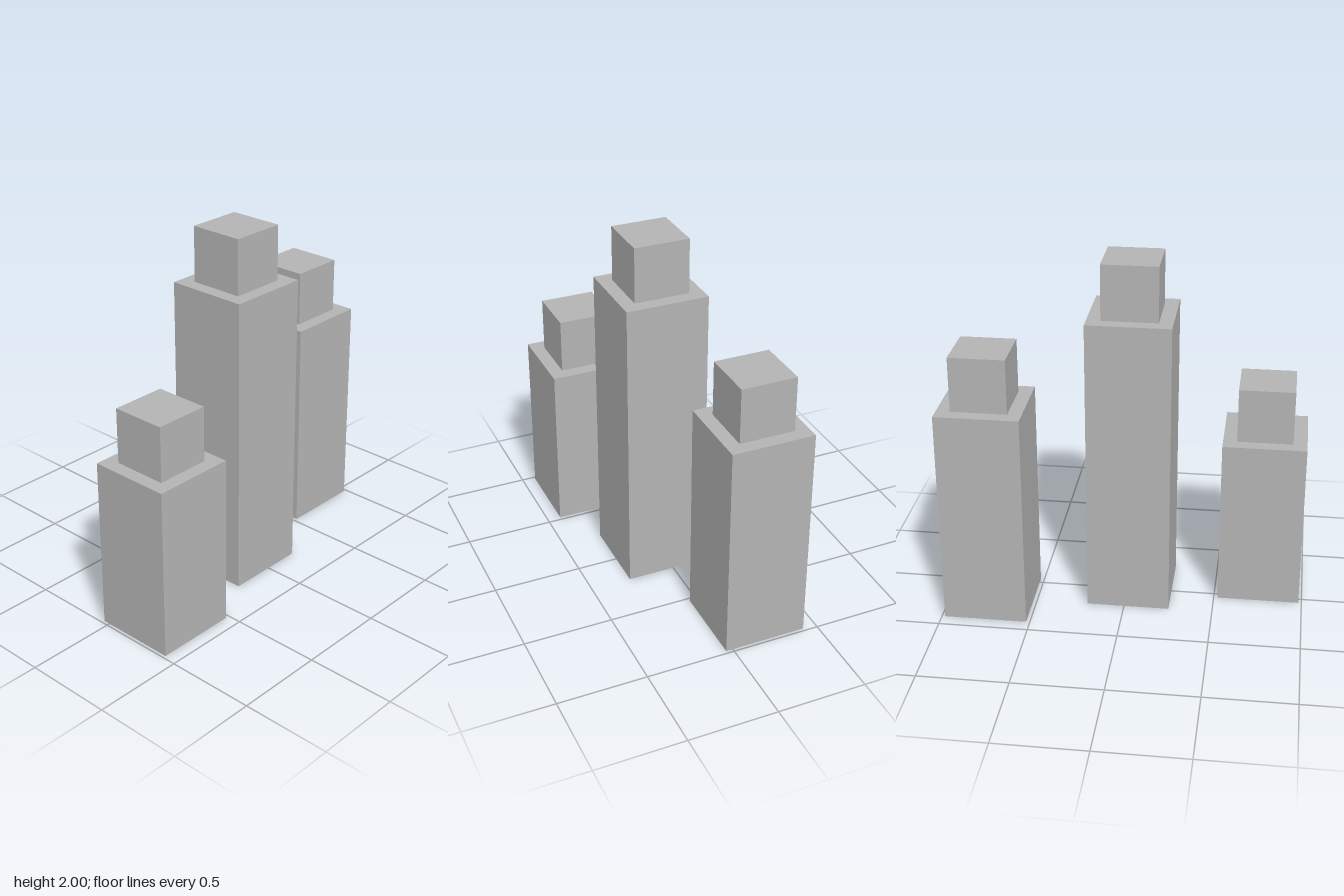
import * as THREE from 'three';

const BASE = 0.4615; // side of a tower's square shaft
const CAP = 0.3077; // side of the cube on top

export function createModel() {
  const model = new THREE.Group();
  model.name = 'towers';
  const grey = new THREE.MeshStandardMaterial({ color: 0xb4b4b4 });
  grey.name = 'grey';

  // A box standing on the given height
  const block = (name, side, height, bottom) => {
    const mesh = new THREE.Mesh(new THREE.BoxGeometry(side, height, side), grey);
    mesh.name = name;
    mesh.position.y = bottom + height / 2;
    return mesh;
  };

  // Shaft with a cube centred on its top
  const addTower = (name, x, z, height) => {
    const tower = new THREE.Group();
    tower.name = name;
    tower.position.set(x, 0, z);
    tower.add(block('shaft', BASE, height, 0), block('cap', CAP, CAP, height));
    model.add(tower);
  };

  addTower('shortTower', -0.752, 0.192, 0.9615);
  addTower('tallTower', -0.022, 0.038, 1.6923);
  addTower('middleHeightTower', 0.752, -0.192, 1.2308);
  return model;
}
